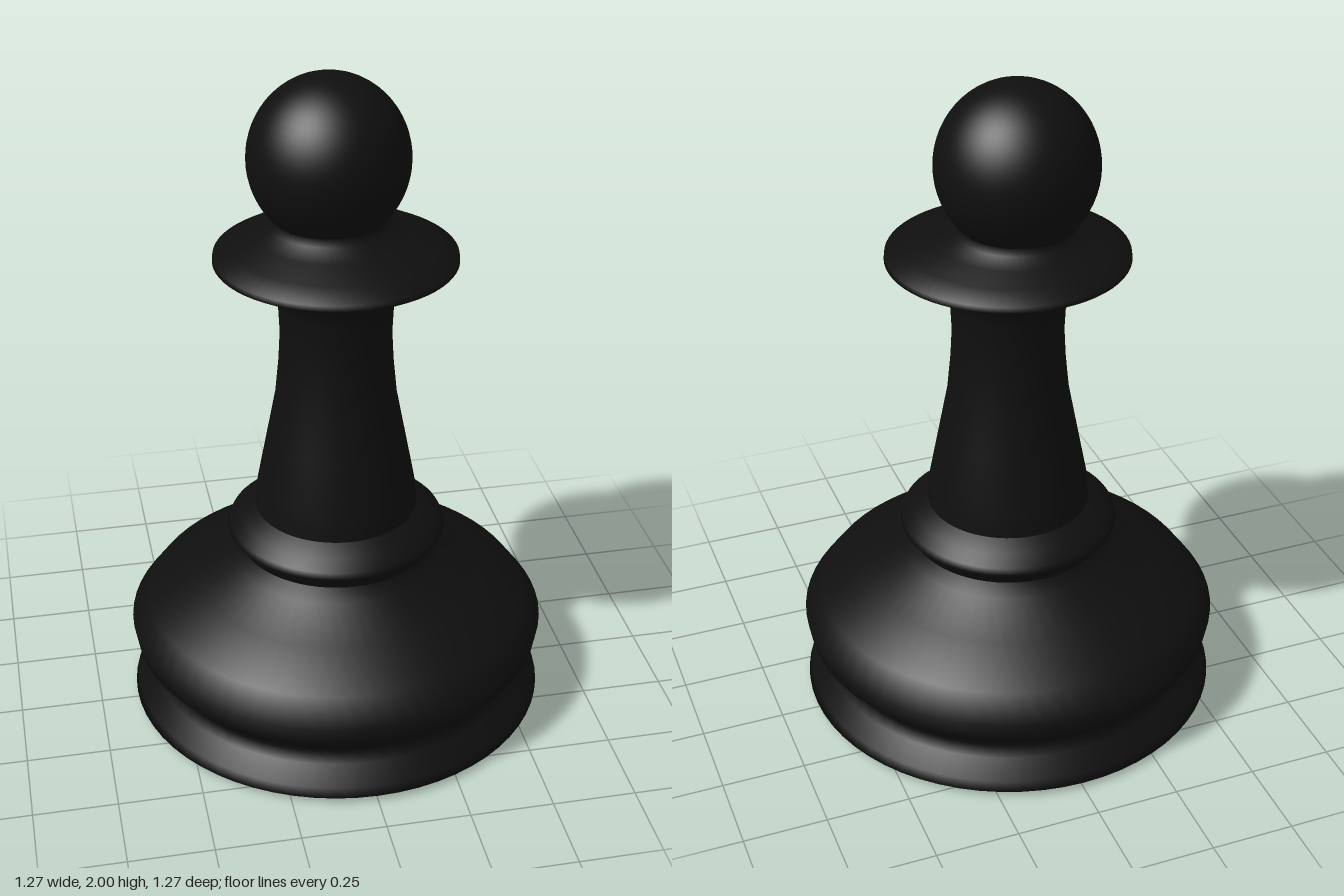
import * as THREE from 'three';

const SEGMENTS = 64;
const HEAD_X = -0.013, HEAD_Z = -0.037;

export function createModel() {
  const group = new THREE.Group();
  group.name = 'pawn';
  const black = new THREE.MeshStandardMaterial({ color: 0x0f0f0f });
  black.name = 'black';

  // Turned part from [radius, height] pairs, listed bottom to top
  function turn(name, profile) {
    const points = profile.map(([r, y]) => new THREE.Vector2(r, y));
    const mesh = new THREE.Mesh(new THREE.LatheGeometry(points, SEGMENTS), black);
    mesh.name = name;
    group.add(mesh);
    return mesh;
  }

  // Wide foot with a groove and a sloping shoulder
  turn('base', [
    [0, 0], [0.45, 0.002], [0.56, 0.008], [0.637, 0.02], [0.627, 0.05],
    [0.58, 0.10], [0.56, 0.13], [0.58, 0.16], [0.625, 0.21], [0.636, 0.27],
    [0.58, 0.345], [0.45, 0.42], [0.32, 0.49], [0.295, 0.53],
  ]);

  // Bead at the foot of the stem
  turn('lowerRing', [[0.295, 0.53], [0.33, 0.58], [0.324, 0.60], [0.29, 0.63], [0.245, 0.655]]);

  // Tapering stem that flares out under the collar
  turn('stem', [
    [0.245, 0.655], [0.238, 0.73], [0.207, 0.89], [0.18, 1.03], [0.169, 1.14],
    [0.164, 1.23], [0.168, 1.32], [0.178, 1.36], [0.195, 1.39], [0.25, 1.42],
  ]);

  // Thin collar, its neck leaning over to meet the off-centre head
  const collar = turn('collar', [
    [0.25, 1.42], [0.315, 1.442], [0.354, 1.465], [0.352, 1.482], [0.296, 1.51],
    [0.225, 1.535], [0.172, 1.558], [0.162, 1.58], [0.172, 1.61], [0.17, 1.65],
  ]);
  const pos = collar.geometry.attributes.position;
  for (let i = 0; i < pos.count; i++) {
    const lean = THREE.MathUtils.smoothstep(pos.getY(i), 1.485, 1.57);
    pos.setX(i, pos.getX(i) + HEAD_X * lean);
    pos.setZ(i, pos.getZ(i) + HEAD_Z * lean);
  }

  // Round head
  const head = new THREE.Mesh(new THREE.SphereGeometry(0.234, SEGMENTS, 32), black);
  head.name = 'head';
  head.scale.y = 0.245 / 0.234;
  head.position.set(HEAD_X, 1.755, HEAD_Z);
  group.add(head);

  return group;
}
